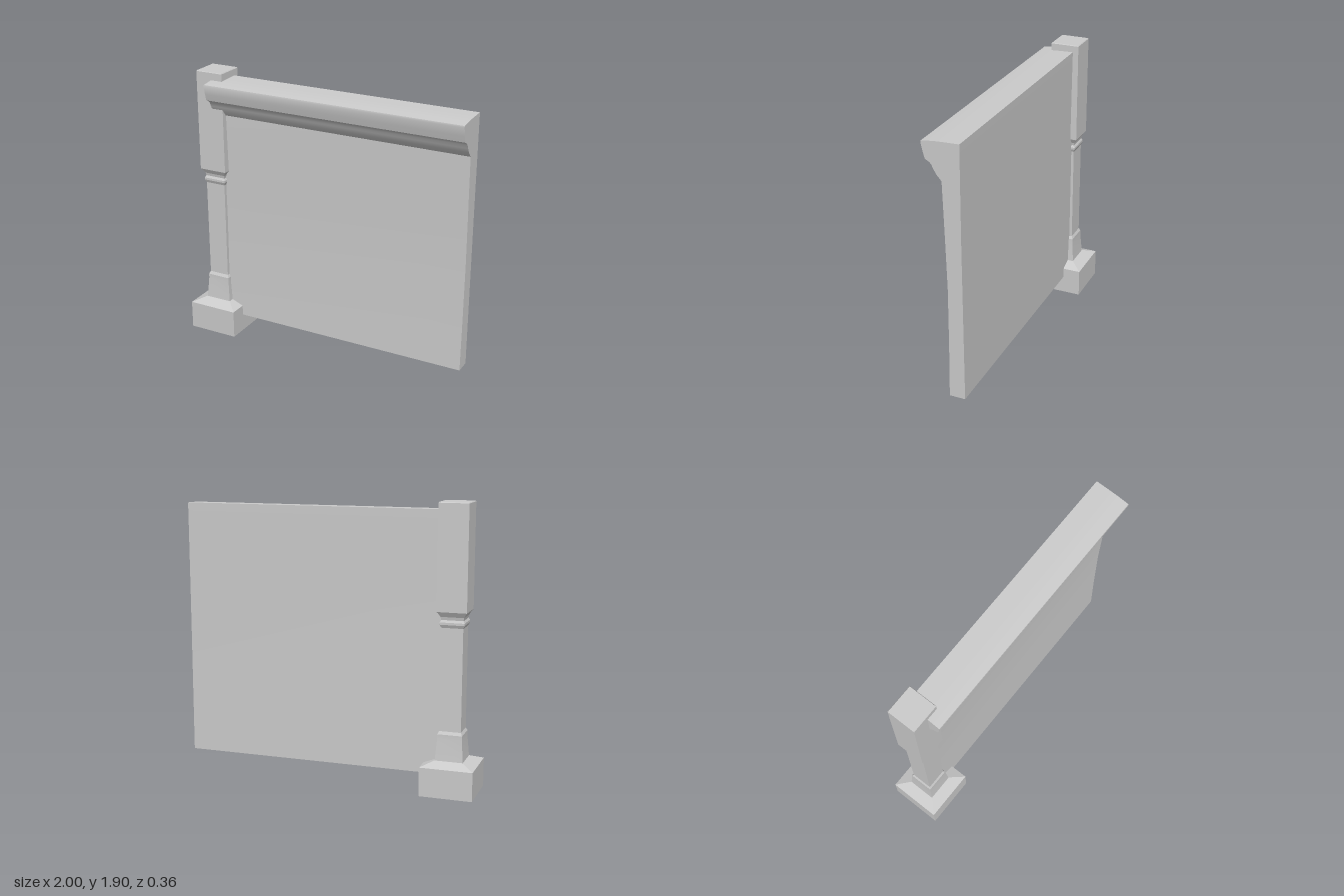
import * as THREE from 'three';
import { toCreasedNormals } from 'three/addons/utils/BufferGeometryUtils.js';

const material = new THREE.MeshStandardMaterial({ color: 0xcccccc });

function addMesh(group, name, geometry, crease) {
  const mesh = new THREE.Mesh(toCreasedNormals(geometry, crease), material);
  mesh.name = name;
  group.add(mesh);
  return mesh;
}

// Square turned section: list of [half width, height], bottom to top
function squareTurning(profile) {
  const points = profile.map(([half, y]) => new THREE.Vector2(half * Math.SQRT2, y));
  return new THREE.LatheGeometry(points, 4, Math.PI / 4);
}

// Run a [z, y] cross-section along x
function runAlongX(section, x0, x1) {
  const shape = new THREE.Shape(section.map(([z, y]) => new THREE.Vector2(-z, y)));
  const geometry = new THREE.ExtrudeGeometry(shape, { depth: x1 - x0, bevelEnabled: false });
  return geometry.rotateY(Math.PI / 2).translate(x0, 0, 0);
}

export function createModel() {
  const model = new THREE.Group();
  model.name = 'wallPanelWithPost';

  // Post: plinth, slender shaft and thick head share one centre line
  const post = new THREE.Group();
  post.name = 'post';
  post.position.set(-0.825, 0, -0.005);
  model.add(post);

  addMesh(post, 'plinth', squareTurning([
    [0, 0], [0.11, 0], [0.175, 0.018], [0.175, 0.21], [0.094, 0.242], [0, 0.242],
  ]), 0.15);

  addMesh(post, 'shaft', squareTurning([
    [0.093, 0.235], [0.081, 0.385], [0.081, 0.415], [0.071, 0.435],
    [0.071, 1.11], [0.08, 1.13], [0.08, 1.145], [0.072, 1.16],
    [0.076, 1.18], [0.092, 1.208],
  ]), 0.15);

  addMesh(post, 'head', squareTurning([
    [0, 1.205], [0.093, 1.205], [0.0975, 1.213], [0.0975, 1.895], [0.094, 1.9], [0, 1.9],
  ]), 0.15);

  // Wall panel with a slightly hollowed front
  addMesh(model, 'panel', runAlongX([
    [0.05, 0.14], [0.043, 0.5], [0.039, 0.9], [0.045, 1.2], [0.055, 1.61],
    [0.055, 1.84], [-0.063, 1.85], [-0.058, 1.2], [-0.056, 0.14],
  ], -0.81, 1), 0.5);

  // Moulded cornice projecting from the top of the panel
  addMesh(model, 'cornice', runAlongX([
    [0.05, 1.605], [0.058, 1.61], [0.088, 1.645], [0.105, 1.675], [0.117, 1.7],
    [0.13, 1.714], [0.156, 1.727], [0.168, 1.77], [0.18, 1.825], [0.178, 1.836],
    [0.1, 1.846], [0.04, 1.849], [-0.063, 1.852], [-0.063, 1.8], [0.05, 1.8],
  ], -0.81, 1), 0.4);

  return model;
}
